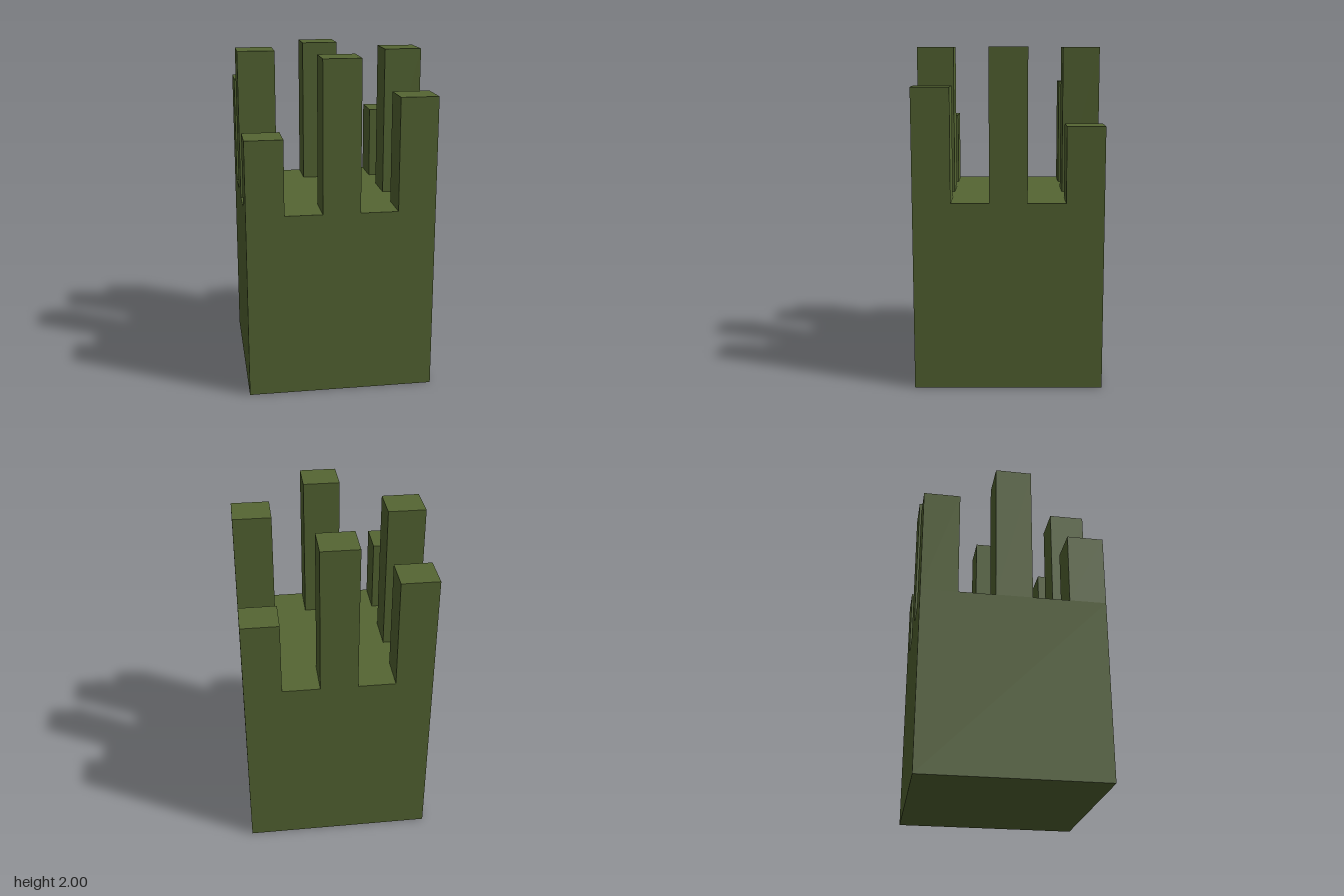
import * as THREE from 'three';

const U = 1 / 9; // block unit

export function createModel() {
  const model = new THREE.Group();
  model.name = 'spikedBlock';
  const olive = new THREE.MeshStandardMaterial({ color: 0x556633 });
  olive.name = 'olive green';

  // Adds a box standing on height y, all sizes in block units
  function addBlock(name, width, height, x, y, z) {
    const mesh = new THREE.Mesh(new THREE.BoxGeometry(width * U, height * U, width * U), olive);
    mesh.name = name;
    mesh.position.set(x * U, (y + height / 2) * U, z * U);
    model.add(mesh);
  }

  // Solid cube base
  addBlock('base', 10, 10, 0, 0, 0);

  // Ring of eight posts: tall mid-side posts, corners alternate in height
  for (const x of [-1, 0, 1]) {
    for (const z of [-1, 0, 1]) {
      if (x === 0 && z === 0) continue;
      const corner = x !== 0 && z !== 0;
      const height = !corner ? 8 : x === z ? 6 : 4;
      addBlock(corner ? 'cornerPost' : 'sidePost', 2, height, x * 4, 10, z * 4);
    }
  }
  return model;
}
